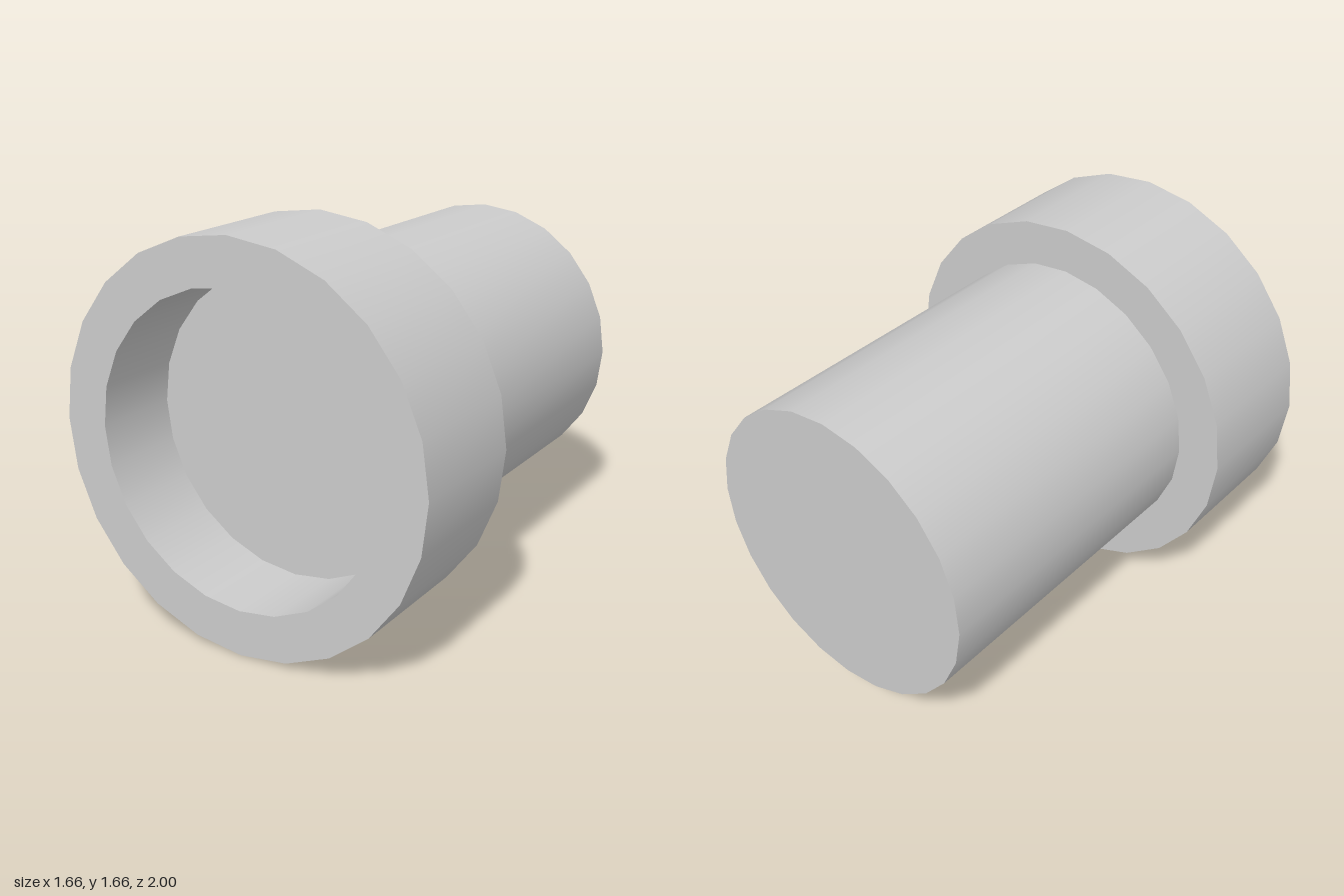
import * as THREE from 'three';
import { mergeGeometries } from 'three/addons/utils/BufferGeometryUtils.js';

const SIDES = 24;
const OUTER = 0.832, INNER = 0.64;               // collar and shaft radii
const BACK = -1, STEP = 0.41, FLOOR = 0.625, FRONT = 1; // positions along z

// Revolves a [radius, z] profile about z; each segment stays separate so edges are sharp.
function turned(name, profile, material) {
  const bands = [];
  for (let i = 0; i < profile.length - 1; i++) {
    const points = [profile[i], profile[i + 1]].map(([r, z]) => new THREE.Vector2(r, z));
    bands.push(new THREE.LatheGeometry(points, SIDES));
  }
  const mesh = new THREE.Mesh(mergeGeometries(bands).rotateX(Math.PI / 2), material);
  mesh.name = name;
  mesh.position.y = OUTER;
  return mesh;
}

export function createModel() {
  const model = new THREE.Group();
  model.name = 'collaredCylinder';
  const grey = new THREE.MeshStandardMaterial({ color: 0xcccccc });

  // Long shaft with closed back end
  model.add(turned('shaft', [[0, BACK], [INNER, BACK], [INNER, STEP]], grey));

  // Wide collar: back shoulder, outer wall, front rim and recess wall
  model.add(turned('collar', [
    [INNER, STEP], [OUTER, STEP], [OUTER, FRONT], [INNER, FRONT], [INNER, FLOOR],
  ], grey));

  // Floor of the front recess
  model.add(turned('recessFloor', [[INNER, FLOOR], [0, FLOOR]], grey));

  return model;
}
